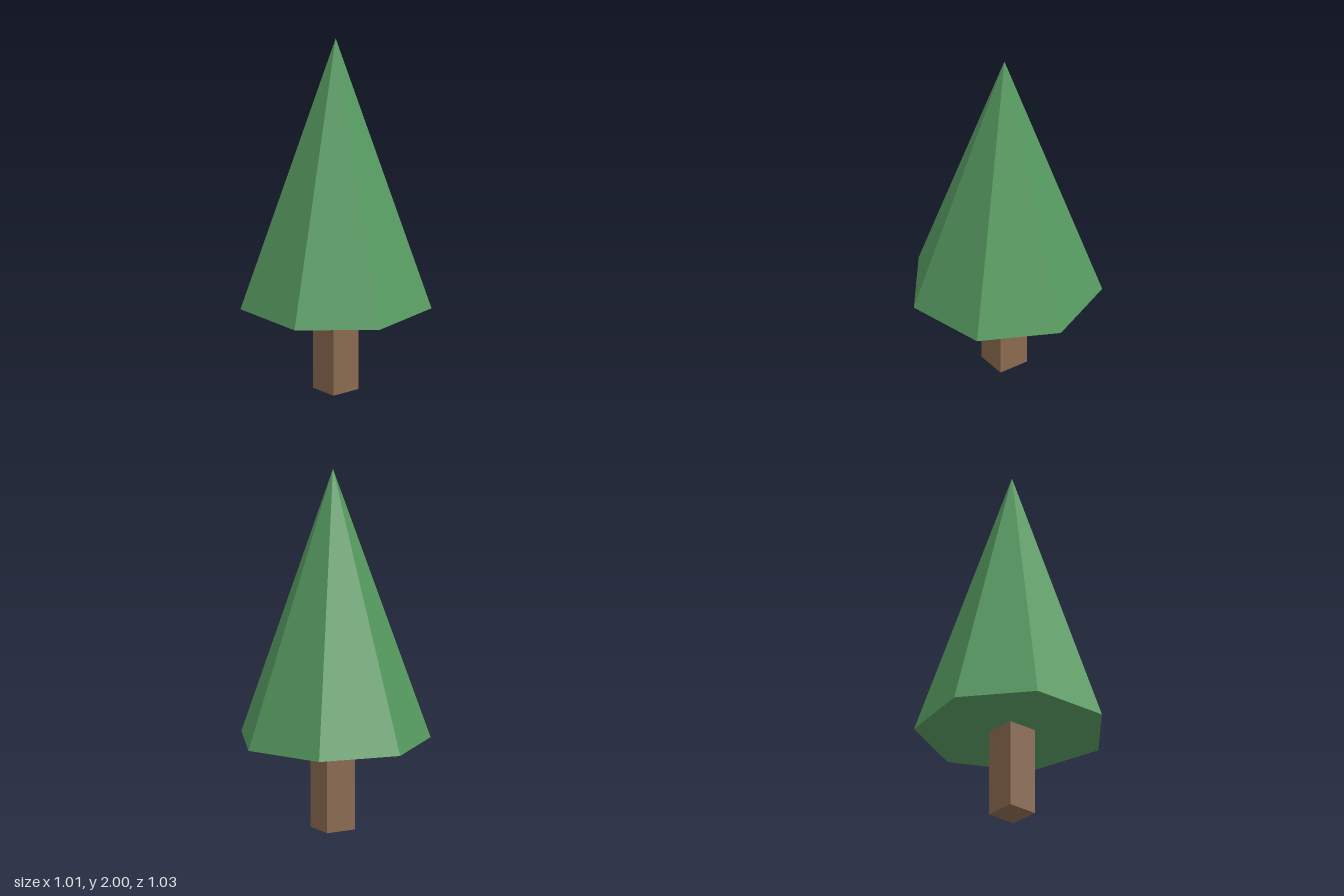
import * as THREE from 'three';

const AXIS_X = -0.026; // the trunk line, offset so the seven-sided crown is centred
const CROWN_BASE = 0.495;
const HEIGHT = 2;
const TRUNK_WIDTH = 0.176;

export function createModel() {
  const tree = new THREE.Group();
  tree.name = 'tree';

  const foliage = new THREE.MeshStandardMaterial({ name: 'foliage green', color: 0x569a60, flatShading: true });
  const bark = new THREE.MeshStandardMaterial({ name: 'bark brown', color: 0x8a6a50, flatShading: true });

  // Crown: seven-sided cone with one corner pointing along +x
  const crownHeight = HEIGHT - CROWN_BASE;
  const crown = new THREE.Mesh(
    new THREE.ConeGeometry(0.53, crownHeight, 7, 1, false, Math.PI / 2),
    foliage
  );
  crown.name = 'crown';
  crown.position.set(AXIS_X, CROWN_BASE + crownHeight / 2, 0);

  // Trunk: square post up to the crown
  const trunk = new THREE.Mesh(new THREE.BoxGeometry(TRUNK_WIDTH, CROWN_BASE, TRUNK_WIDTH), bark);
  trunk.name = 'trunk';
  trunk.position.set(AXIS_X, CROWN_BASE / 2, 0);

  tree.add(crown, trunk);
  return tree;
}
